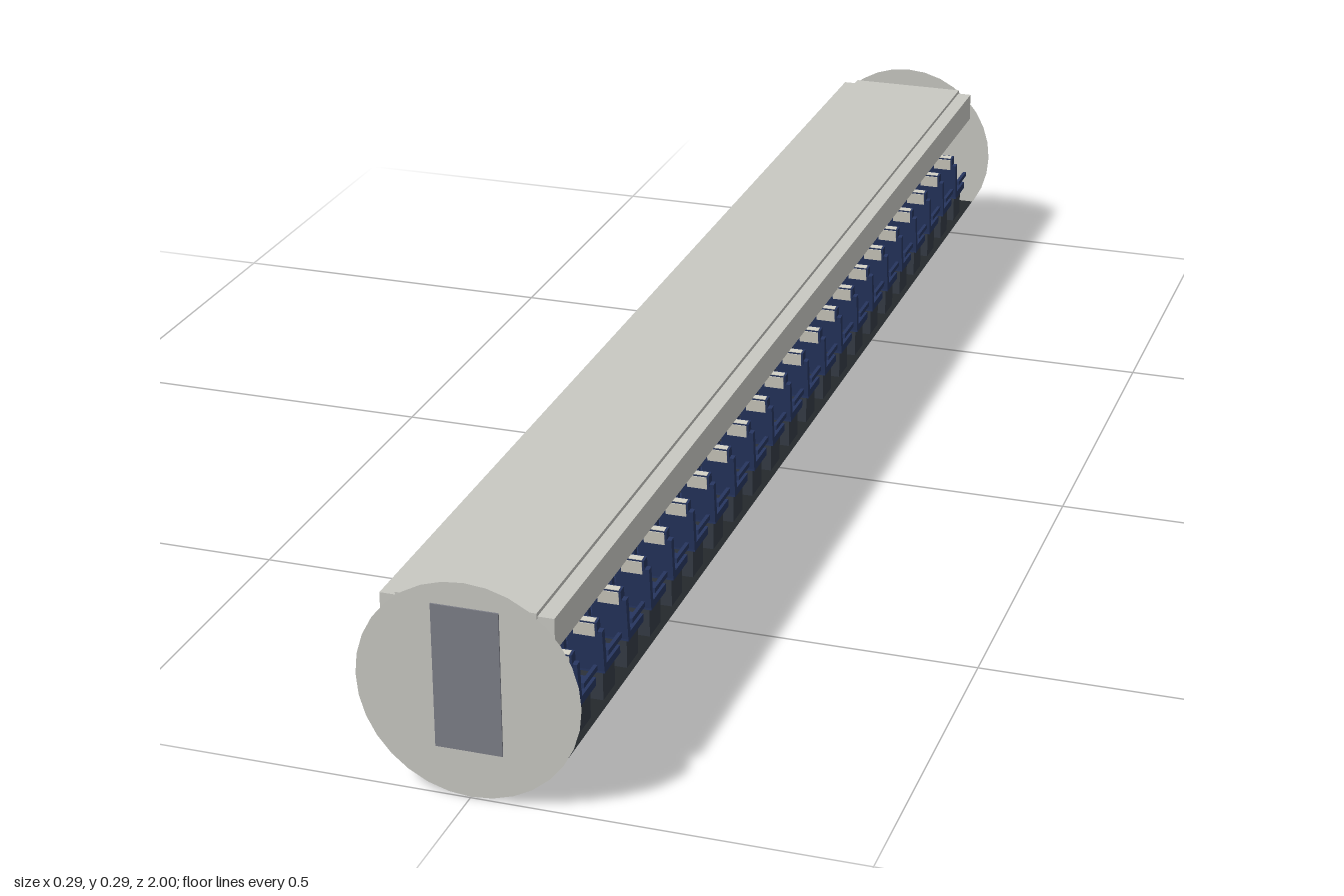
import * as THREE from 'three';

const mat = (name, color, side = THREE.FrontSide) => {
  const m = new THREE.MeshStandardMaterial({ color, side });
  m.name = name;
  return m;
};

export function createModel() {
  const shell = mat('warm grey panel', 0xc8c8c2);
  const wall = mat('bulkhead grey', 0xc6c6c0, THREE.DoubleSide);
  const door = mat('door grey', 0x7c7e87);
  const carpet = mat('dark carpet', 0x24282c, THREE.DoubleSide);
  const navy = mat('navy fabric', 0x26355f);
  const frame = mat('seat base grey', 0x343a44);
  const cream = mat('cream cover', 0xd0cec2);

  const model = new THREE.Group();
  model.name = 'cabin';

  const box = (parent, name, material, size, pos) => {
    const mesh = new THREE.Mesh(new THREE.BoxGeometry(...size), material);
    mesh.name = name;
    mesh.position.set(...pos);
    parent.add(mesh);
    return mesh;
  };

  // Floor sheet
  const floor = new THREE.Mesh(new THREE.PlaneGeometry(0.236, 1.99), carpet);
  floor.name = 'floor';
  floor.rotation.x = -Math.PI / 2;
  floor.position.y = 0.063;
  model.add(floor);

  // Ceiling and overhead bins
  box(model, 'ceiling', shell, [0.178, 0.008, 1.99], [0, 0.256, 0]);
  for (const s of [1, -1]) {
    box(model, 'overheadBin', shell, [0.06, 0.043, 1.985], [s * 0.08, 0.2335, 0]);
  }

  // Round end walls with doors
  for (const s of [1, -1]) {
    const disc = new THREE.Mesh(new THREE.CircleGeometry(0.1435, 32), wall);
    disc.name = 'endWall';
    disc.position.set(0, 0.1435, s * 0.998);
    if (s < 0) disc.rotation.y = Math.PI;
    model.add(disc);
    box(model, 'door', door, [0.086, 0.191, 0.003], [0, 0.159, s * 0.9985]);
  }

  // One seat, facing -z, with its origin on the floor
  const seat = new THREE.Group();
  seat.name = 'seat';
  box(seat, 'seatBase', frame, [0.036, 0.042, 0.042], [0, 0.021, 0]);
  box(seat, 'cushion', navy, [0.046, 0.011, 0.056], [0, 0.047, 0]);
  for (const s of [1, -1]) {
    box(seat, 'armrest', navy, [0.005, 0.007, 0.048], [s * 0.024, 0.068, -0.001]);
  }
  const back = new THREE.Group();
  back.name = 'backrest';
  back.position.set(0, 0.045, 0.024);
  back.rotation.x = 0.12;
  box(back, 'backCushion', navy, [0.046, 0.058, 0.009], [0, 0.029, 0]);
  box(back, 'headrest', navy, [0.034, 0.018, 0.012], [0, 0.062, -0.001]);
  box(back, 'headrestCover', cream, [0.028, 0.018, 0.001], [0, 0.06, 0.0055]);
  box(back, 'coverTop', cream, [0.028, 0.001, 0.009], [0, 0.0713, 0]);
  seat.add(back);

  // Rows of two pairs with an aisle between
  const seats = new THREE.Group();
  seats.name = 'seats';
  for (let row = 0; row < 22; row++) {
    for (const x of [-0.095, -0.044, 0.041, 0.092]) {
      const copy = seat.clone();
      copy.position.set(x, 0.0635, 0.9 - row * 0.0865);
      seats.add(copy);
    }
  }
  model.add(seats);
  return model;
}
